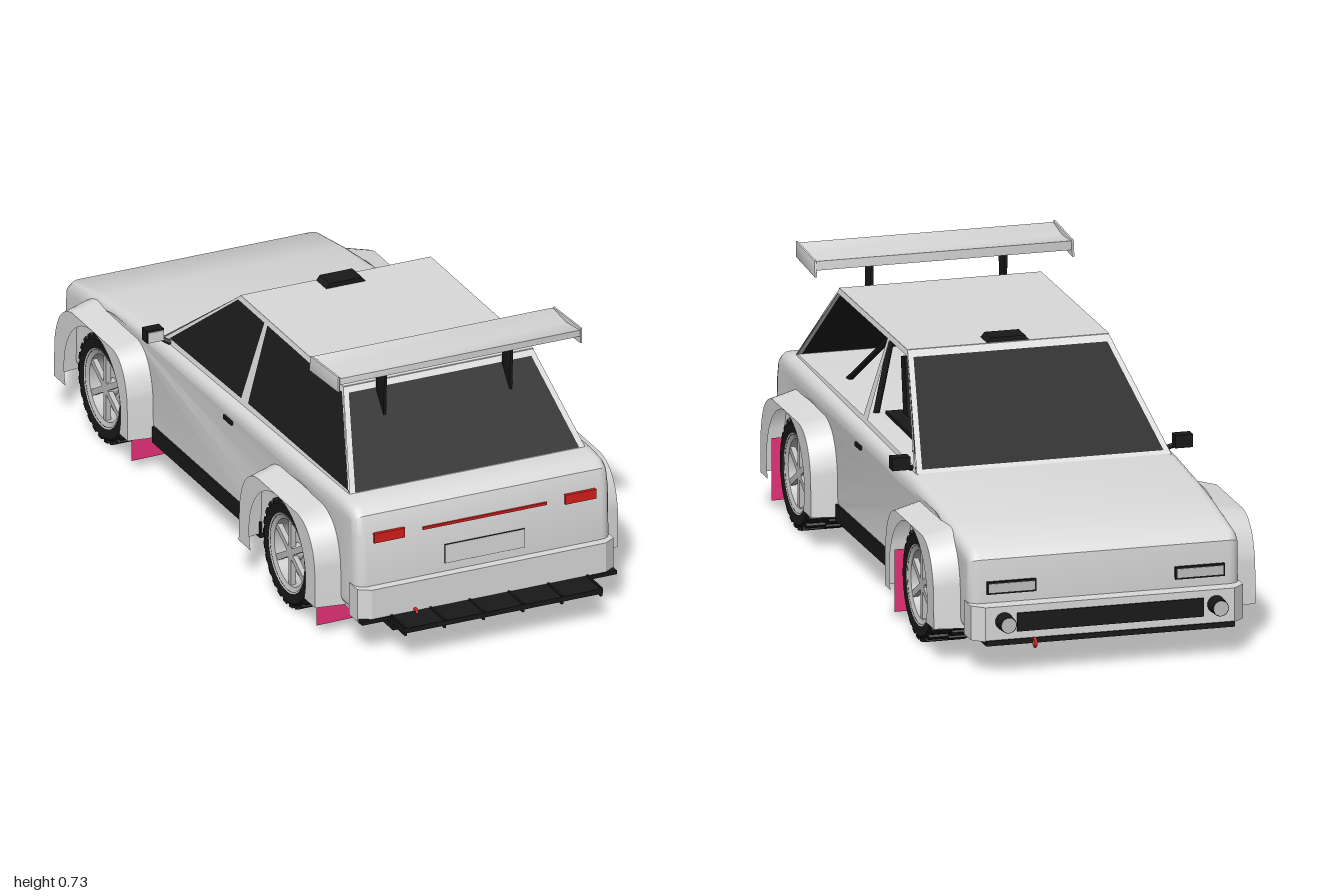
import * as THREE from 'three';
import { toCreasedNormals } from 'three/addons/utils/BufferGeometryUtils.js';

export function createModel() {
  const car = new THREE.Group();
  car.name = 'rallyHatchback';
  const mat = (name, color, side = THREE.FrontSide) => {
    const m = new THREE.MeshStandardMaterial({ color, side });
    m.name = name;
    return m;
  };
  const paint = mat('silverPaint', 0xdadada, THREE.DoubleSide);
  const glass = mat('tintedGlass', 0x1c1c1c, THREE.DoubleSide);
  const black = mat('blackTrim', 0x191919);
  const red = mat('redLamp', 0xd81e1e);
  const pink = mat('pinkFlap', 0xe83179, THREE.DoubleSide);
  const alloy = mat('alloy', 0xc0c0c0, THREE.DoubleSide);

  const add = (name, geo, m, x = 0, y = 0, z = 0, parent = car) => {
    const mesh = new THREE.Mesh(geo, m);
    mesh.name = name;
    mesh.position.set(x, y, z);
    parent.add(mesh);
    return mesh;
  };
  // Box given by its limits on each axis
  const box = (name, m, x0, x1, y0, y1, z0, z1) =>
    add(name, new THREE.BoxGeometry(Math.abs(x1 - x0), y1 - y0, z1 - z0), m, (x0 + x1) / 2, (y0 + y1) / 2, (z0 + z1) / 2);
  const poly = (pts) => new THREE.Shape(pts.map((p) => new THREE.Vector2(p[0], p[1])));
  // Side profile in (z, y), extruded across x with rounded edges
  const sideExtrude = (shape, width, thick, size) => {
    const g = new THREE.ExtrudeGeometry(shape, {
      depth: width - 2 * thick, bevelEnabled: true, bevelThickness: thick, bevelSize: size,
      bevelOffset: -size, bevelSegments: 4, curveSegments: 24,
    });
    g.translate(0, 0, thick - width / 2);
    g.rotateY(-Math.PI / 2);
    return toCreasedNormals(g, 0.6);
  };
  const rod = (name, m, a, b, r) => {
    const curve = new THREE.LineCurve3(new THREE.Vector3(...a), new THREE.Vector3(...b));
    return add(name, new THREE.TubeGeometry(curve, 1, r, 8), m);
  };

  const axles = [-0.58, 0.545], hubY = 0.155, archR = 0.172;
  const drop = Math.asin((hubY - 0.1) / archR), archW = archR * Math.cos(drop);

  // Lower body with wheel cut-outs
  const hull = new THREE.Shape();
  hull.moveTo(-0.9, 0.1);
  for (const z of axles) {
    hull.lineTo(z - archW, 0.1);
    hull.absarc(z, hubY, archR, Math.PI + drop, -drop, true);
  }
  [[0.885, 0.1], [0.885, 0.2], [0.882, 0.33], [0.868, 0.385], [0.84, 0.405], [0.78, 0.411], [0.3, 0.402], [-0.35, 0.39],
    [-0.55, 0.376], [-0.71, 0.358], [-0.88, 0.33], [-0.908, 0.305], [-0.912, 0.19]].forEach((p) => hull.lineTo(...p));
  add('lowerBody', sideExtrude(hull, 0.74, 0.03, 0.03), paint);
  box('floor', paint, -0.36, 0.36, 0.097, 0.103, -0.9, 0.88);

  // Bumpers: chamfered plan shape raised upward
  const bumper = (name, s, zIn, zMid, zOut) => {
    const g = new THREE.ExtrudeGeometry(poly([[-0.372, zIn], [-0.372, zMid], [-0.34, zOut], [0.34, zOut], [0.372, zMid], [0.372, zIn]]
      .map(([x, z]) => [x, -s * z])), { depth: 0.093, bevelEnabled: false });
    g.rotateX(-Math.PI / 2);
    add(name, g, paint, 0, 0.095, 0);
  };
  bumper('frontBumper', -1, 0.865, 0.925, 0.955);
  bumper('rearBumper', 1, 0.84, 0.89, 0.91);
  box('bumperGrille', black, -0.255, 0.255, 0.118, 0.168, -0.96, -0.953);
  box('frontSplitter', black, -0.34, 0.34, 0.084, 0.098, -0.96, -0.83);
  box('rearBumperSeam', black, -0.37, 0.37, 0.093, 0.104, 0.85, 0.914);

  // Greenhouse: flat panels in (a, y) leaned inwards by a rule
  const sideX = (y) => 0.345 - 0.07 * (y - 0.4) / 0.235;
  const screenZ = (y) => -0.35 + 0.33 * (y - 0.39) / 0.245;
  const hatchZ = (y) => 0.78 - 0.18 * (y - 0.41) / 0.225;
  const panel = (name, m, shape, place) => {
    const g = new THREE.ShapeGeometry(shape, 24), p = g.attributes.position;
    for (let i = 0; i < p.count; i++) p.setXYZ(i, ...place(p.getX(i), p.getY(i)));
    g.computeVertexNormals();
    return add(name, g, m);
  };
  const frame = (outline, ...holes) => {
    const s = poly(outline);
    s.holes = holes.map((h) => poly(h));
    return s;
  };
  const sideOutline = [[-0.35, 0.385], [0.78, 0.4], [0.6, 0.635], [-0.02, 0.635]];
  const doorGlass = [[-0.31, 0.402], [0.12, 0.41], [0.13, 0.62], [-0.03, 0.62]];
  const rearGlass = [[0.16, 0.412], [0.765, 0.416], [0.602, 0.62], [0.148, 0.62]];
  for (const s of [-1, 1]) panel('sideWindowFrame', paint, frame(sideOutline, doorGlass, rearGlass), (z, y) => [s * sideX(y), y, z]);
  // Only the right-hand side windows are glazed
  for (const w of [doorGlass, rearGlass]) panel('sideGlass', glass, poly(w), (z, y) => [-sideX(y), y, z]);
  const endPanel = (name, y0, z, bot, top) => {
    const outer = [[-sideX(y0), y0], [sideX(y0), y0], [sideX(0.635), 0.635], [-sideX(0.635), 0.635]];
    const inner = [[-bot, y0 + 0.01], [bot, y0 + 0.01], [top, 0.619], [-top, 0.619]];
    panel(name + 'Frame', paint, frame(outer, inner), (x, y) => [x, y, z(y)]);
    panel(name + 'Glass', glass, poly(inner), (x, y) => [x, y, z(y)]);
  };
  endPanel('windscreen', 0.388, screenZ, 0.33, 0.265);
  endPanel('rearWindow', 0.402, hatchZ, 0.325, 0.265);
  box('roof', paint, -0.276, 0.276, 0.619, 0.635, -0.022, 0.602);

  // Roof vent
  const vent = new THREE.ExtrudeGeometry(poly([[-0.058, 0], [0.058, 0], [0.047, 0.014], [-0.047, 0.014]]), { depth: 0.06, bevelEnabled: false });
  add('roofVent', vent, black, 0, 0.634, -0.02);

  // Dark cabin
  box('dashboard', black, -0.3, 0.3, 0.38, 0.42, -0.27, -0.15);
  box('cabinFloor', black, -0.3, 0.27, 0.38, 0.408, -0.15, 0.2);
  for (const s of [-1, 1]) {
    const seat = box('seatBack', black, s * 0.07, s * 0.23, 0.39, 0.56, 0.14, 0.18);
    seat.rotation.x = 0.15;
    rod('rollCageHoop', black, [s * 0.29, 0.39, 0.22], [s * 0.25, 0.62, 0.2], 0.009);
    rod('rollCageStay', black, [s * 0.27, 0.39, 0.56], [s * 0.24, 0.62, 0.2], 0.008);
  }
  rod('rollCageCross', black, [-0.29, 0.4, 0.22], [0.25, 0.62, 0.2], 0.008);

  // Rear wing: sloped blade, end plates and struts
  const blade = sideExtrude(poly([[0.567, 0.697], [0.735, 0.71], [0.735, 0.728], [0.65, 0.716], [0.567, 0.722]]), 0.7, 0.003, 0.003);
  add('wingBlade', blade, paint);
  for (const s of [-1, 1]) {
    add('wingEndPlate', sideExtrude(poly([[0.56, 0.68], [0.735, 0.69], [0.735, 0.733], [0.567, 0.724]]), 0.006, 0.001, 0.001), paint, s * 0.352);
    add('wingStrut', sideExtrude(poly([[0.615, 0.6], [0.66, 0.55], [0.668, 0.705], [0.61, 0.705]]), 0.008, 0.001, 0.001), black, s * 0.183);
  }

  // Lamps, plate recess and rear details
  box('rearLightStrip', red, -0.18, 0.18, 0.321, 0.328, 0.878, 0.888);
  box('plateBorder', black, -0.116, 0.116, 0.211, 0.265, 0.88, 0.887);
  box('platePanel', paint, -0.115, 0.115, 0.212, 0.264, 0.881, 0.888);
  box('diffuserPlate', black, -0.288, 0.288, 0.09, 0.104, 0.83, 1.0);
  box('diffuserBase', black, -0.288, 0.288, 0.07, 0.09, 0.77, 0.93);
  for (let i = 0; i < 6; i++) box('diffuserFin', black, -0.286 + i * 0.1136, -0.28 + i * 0.1136, 0.082, 0.107, 0.9, 0.998);
  const pipe = add('exhaustPipe', new THREE.CylinderGeometry(0.018, 0.018, 0.17, 16, 1, true), alloy, 0.2, 0.083, 0.85);
  pipe.rotation.x = Math.PI / 2;
  for (const [x, y, z] of [[0.21, 0.088, -0.97], [-0.215, 0.1, 0.915]]) {
    add('towHook', new THREE.TorusGeometry(0.011, 0.004, 8, 16), red, x, y, z).rotation.y = Math.PI / 2;
  }

  // Parts mirrored left and right
  for (const s of [-1, 1]) {
    box('tailLight', red, s * 0.233, s * 0.322, 0.311, 0.338, 0.878, 0.889);
    box('headlightFrame', black, s * 0.19, s * 0.325, 0.212, 0.246, -0.918, -0.905);
    box('headlightLens', alloy, s * 0.195, s * 0.32, 0.217, 0.241, -0.92, -0.912);
    add('fogLamp', new THREE.CylinderGeometry(0.024, 0.022, 0.045, 20), black, s * 0.29, 0.148, -0.976).rotation.x = Math.PI / 2;
    add('fogLens', new THREE.CylinderGeometry(0.02, 0.02, 0.004, 20), alloy, s * 0.29, 0.148, -0.998).rotation.x = Math.PI / 2;
    box('sideSkirt', black, s * 0.34, s * 0.376, 0.09, 0.136, -0.35, 0.305);
    box('doorHandle', black, s * 0.365, s * 0.376, 0.341, 0.352, 0.08, 0.128);
    box('mirrorHousing', black, s * 0.362, s * 0.411, 0.4, 0.435, -0.34, -0.308);
    box('mirrorFace', paint, s * 0.364, s * 0.409, 0.402, 0.431, -0.31, -0.304);
    rod('mirrorArm', black, [s * 0.34, 0.39, -0.3], [s * 0.38, 0.41, -0.325], 0.007);
  }

  // Wheel parts
  const tyreGeo = new THREE.LatheGeometry([[0.1, -0.055], [0.135, -0.06], [0.144, -0.05], [0.144, 0.05], [0.135, 0.06], [0.104, 0.056], [0.1, 0.03]]
    .map((p) => new THREE.Vector2(...p)), 40);
  const rimGeo = new THREE.LatheGeometry([[0.02, 0.022], [0.086, 0.012], [0.092, 0.05], [0.109, 0.058], [0.109, 0.03]]
    .map((p) => new THREE.Vector2(...p)), 40);
  const makeWheel = () => {
    const w = new THREE.Group();
    w.name = 'wheel';
    add('tyre', toCreasedNormals(tyreGeo, 0.5), black, 0, 0, 0, w);
    add('tyreBack', new THREE.CylinderGeometry(0.102, 0.102, 0.01, 32), black, 0, -0.048, 0, w);
    add('rim', toCreasedNormals(rimGeo, 0.5), alloy, 0, 0, 0, w);
    add('hub', new THREE.CylinderGeometry(0.02, 0.024, 0.03, 16), alloy, 0, 0.034, 0, w);
    for (let i = 0; i < 6; i++) {
      const a = i * Math.PI / 3;
      const spoke = add('spoke', new THREE.BoxGeometry(0.084, 0.014, 0.017), alloy, 0.055 * Math.cos(a), 0.042, -0.055 * Math.sin(a), w);
      spoke.rotation.y = a;
    }
    for (let i = 0; i < 52; i++) {
      const a = i * Math.PI / 26, y = i % 2 ? 0.029 : -0.029;
      const b = add('treadBlock', new THREE.BoxGeometry(0.012, 0.052, 0.02), black, 0.144 * Math.cos(a), y, -0.144 * Math.sin(a), w);
      b.rotation.y = a;
    }
    return w;
  };

  // Hollow wheel flares: a wall swept round the outline plus an outer face
  axles.forEach((z, axle) => {
    const back = axle ? 0.245 : 0.228;
    const path = new THREE.Path();
    path.moveTo(z - 0.25, 0.1);
    path.lineTo(z - 0.245, 0.22);
    path.quadraticCurveTo(z - 0.225, 0.338, z - 0.13, 0.35);
    path.lineTo(z + 0.13, 0.35);
    path.quadraticCurveTo(z + back - 0.02, 0.338, z + back - 0.003, 0.22);
    path.lineTo(z + back, 0.1);
    const inner = path.getPoints(10), n = inner.length;
    const outer = inner.map((p) => new THREE.Vector2(z + (p.x - z) * 0.94, 0.1 + (p.y - 0.1) * 0.91));
    const face = new THREE.Shape(outer);
    face.lineTo(z + archW, 0.1);
    face.absarc(z, hubY, archR, -drop, Math.PI + drop, false);
    for (const s of [-1, 1]) {
      const wall = new THREE.PlaneGeometry(1, 1, n - 1, 1), p = wall.attributes.position;
      for (let i = 0; i < p.count; i++) {
        const c = (i < n ? inner : outer)[i % n];
        p.setXYZ(i, s * (i < n ? 0.35 : 0.44), c.y, c.x);
      }
      // Keep the wall facing outward on both sides
      if (s > 0) wall.index.array.reverse();
      wall.computeVertexNormals();
      add('flareWall', wall, paint);
      panel('flareFace', paint, face, (a, y) => [s * 0.44, y, a]);
      const flap = poly([[0.295, 0.1], [0.295, 0.032], [0.42, 0.03], [0.42, 0.2], [0.36, 0.2]].map(([x, y]) => [s * x, y]));
      add('mudFlap', new THREE.ShapeGeometry(flap), pink, 0, 0, z + 0.195);
      const w = makeWheel();
      w.position.set(s * 0.355, hubY, z);
      w.rotation.z = -s * Math.PI / 2;
      car.add(w);
    }
  });
  return car;
}
